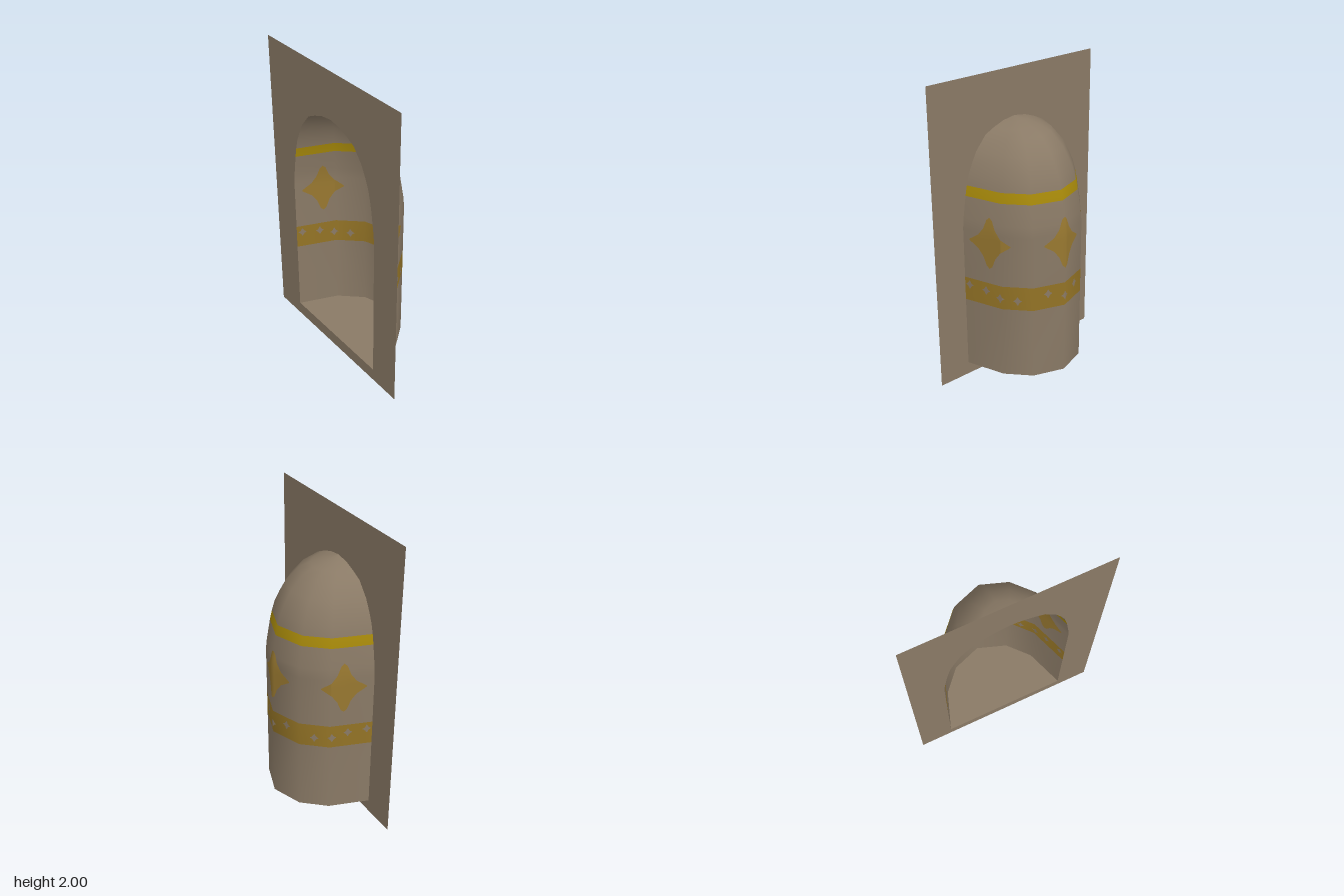
import * as THREE from 'three';

const FRONT = 0.235;
// Niche plan, from the back point round to the front edge: x, z
const PLAN = [[0, -0.235], [0.2, -0.165], [0.33, -0.02], [0.42, FRONT]];
// Niche section: plan scale, height
const SECTION = [[1, 0.085], [1, 0.565], [1, 0.725], [1, 1.06], [0.985, 1.13], [0.96, 1.2], [0.935, 1.27],
  [0.905, 1.335], [0.865, 1.4], [0.8, 1.465], [0.715, 1.535], [0.54, 1.622], [0.38, 1.655], [0.205, 1.682], [0.001, 1.695]];
// Distance along the wall at each plan corner
const ARC = [0];
for (let i = 1; i < PLAN.length; i++) {
  ARC.push(ARC[i - 1] + Math.hypot(PLAN[i][0] - PLAN[i - 1][0], PLAN[i][1] - PLAN[i - 1][1]));
}

const mat = (name, color) => new THREE.MeshStandardMaterial({ name, color, side: THREE.DoubleSide });

// Piecewise linear lookup in sorted lists
function lookup(xs, ys, x) {
  let i = 1;
  while (i < xs.length - 1 && x > xs[i]) i++;
  return ys[i - 1] + (ys[i] - ys[i - 1]) * (x - xs[i - 1]) / (xs[i] - xs[i - 1]);
}

// Point on the wall at signed distance u from the back corner and height y
function wallPoint(u, y, grow = 1) {
  const a = Math.min(Math.abs(u), ARC[3]);
  const s = grow * lookup(SECTION.map(p => p[1]), SECTION.map(p => p[0]), y);
  const x = lookup(ARC, PLAN.map(p => p[0]), a), z = lookup(ARC, PLAN.map(p => p[1]), a);
  return [Math.sign(u) * x * s, y, FRONT + (z - FRONT) * s];
}

// Surface through a grid of points, rows of equal length
function gridGeometry(rows) {
  const n = rows[0].length, index = [];
  for (let r = 0; r < rows.length - 1; r++) {
    for (let c = 0; c < n - 1; c++) {
      const a = r * n + c, b = a + n;
      index.push(a, b, a + 1, a + 1, b, b + 1);
    }
  }
  const g = new THREE.BufferGeometry();
  g.setAttribute('position', new THREE.Float32BufferAttribute(rows.flat(2), 3));
  g.setIndex(index);
  g.computeVertexNormals();
  return g;
}

// Concave diamond wrapped on the wall: half outline as fractions of width and height
const STAR = [[0, 1], [0.14, 0.9], [0.3, 0.55], [0.55, 0.27], [1, 0.02]];
function diamondGeometry(u0, y0, halfW, halfH, grow) {
  const us = [];
  for (const [f] of STAR) us.push(u0 + f * halfW, u0 - f * halfW);
  for (const a of ARC) for (const u of [a, -a]) if (Math.abs(u - u0) < halfW) us.push(u);
  const cols = [...new Set(us)].sort((a, b) => a - b);
  const rows = [];
  for (let r = 0; r <= 8; r++) {
    rows.push(cols.map(u => {
      const h = halfH * lookup(STAR.map(p => p[0]), STAR.map(p => p[1]), Math.abs(u - u0) / halfW);
      return wallPoint(u, y0 + h * (r / 4 - 1), grow);
    }));
  }
  return gridGeometry(rows);
}

export function createModel() {
  const model = new THREE.Group();
  const stone = mat('stone', 0x8a7a66);
  const gold = mat('bright gold', 0xa88a0a);
  const ochre = mat('ochre', 0x987830);
  const darkOchre = mat('dark ochre', 0x947426);
  const add = (name, geometry, material, parent = model) => {
    const mesh = new THREE.Mesh(geometry, material);
    mesh.name = name;
    parent.add(mesh);
    return mesh;
  };

  // Flat wall panel with an arched opening
  const panel = new THREE.Shape([[-0.64, 0], [0.64, 0], [0.64, 2], [-0.64, 2]].map(p => new THREE.Vector2(...p)));
  const half = SECTION.map(([s, y]) => new THREE.Vector2(0.42 * s, y));
  const mirrored = half.map(p => new THREE.Vector2(-p.x, p.y)).reverse();
  panel.holes.push(new THREE.Path([...half, ...mirrored]));
  add('wallPanel', new THREE.ShapeGeometry(panel), stone).position.z = FRONT;

  // Domed niche wall, its two painted bands coloured by row
  const corners = [...ARC.slice(1).reverse().map(a => -a), ...ARC];
  const wall = gridGeometry(SECTION.map(([, y]) => corners.map(u => wallPoint(u, y))));
  const perRow = (corners.length - 1) * 6;
  for (let r = 0; r < SECTION.length - 1; r++) {
    wall.addGroup(r * perRow, perRow, r === 1 ? 2 : r === 6 ? 1 : 0);
  }
  add('nicheWall', wall, [stone, gold, darkOchre]);

  // Niche floor
  const outline = [...PLAN.slice(1).reverse().map(([x, z]) => [-x, z]), ...PLAN];
  const floor = new THREE.ShapeGeometry(new THREE.Shape(outline.map(([x, z]) => new THREE.Vector2(x, -z))));
  floor.rotateX(-Math.PI / 2);
  add('nicheFloor', floor, stone).position.y = 0.085;

  // Painted ornaments on the inner and outer faces of the wall
  const ornaments = new THREE.Group();
  ornaments.name = 'ornaments';
  model.add(ornaments);
  const spots = [[0, 0.635], [0.115, 0.67], [0.31, 0.63], [0.42, 0.64], [0.52, 0.67], [0.64, 0.68]];
  for (const grow of [0.99, 1.01]) {
    for (const u of [-0.49, 0, 0.49]) {
      add('diamond', diamondGeometry(u, 1, 0.14, 0.17, grow), ochre, ornaments);
    }
    for (const [u, y] of spots) {
      for (const side of u ? [-1, 1] : [1]) {
        add('bandSpot', diamondGeometry(side * u, y, 0.028, 0.03, grow), stone, ornaments);
      }
    }
  }
  return model;
}
